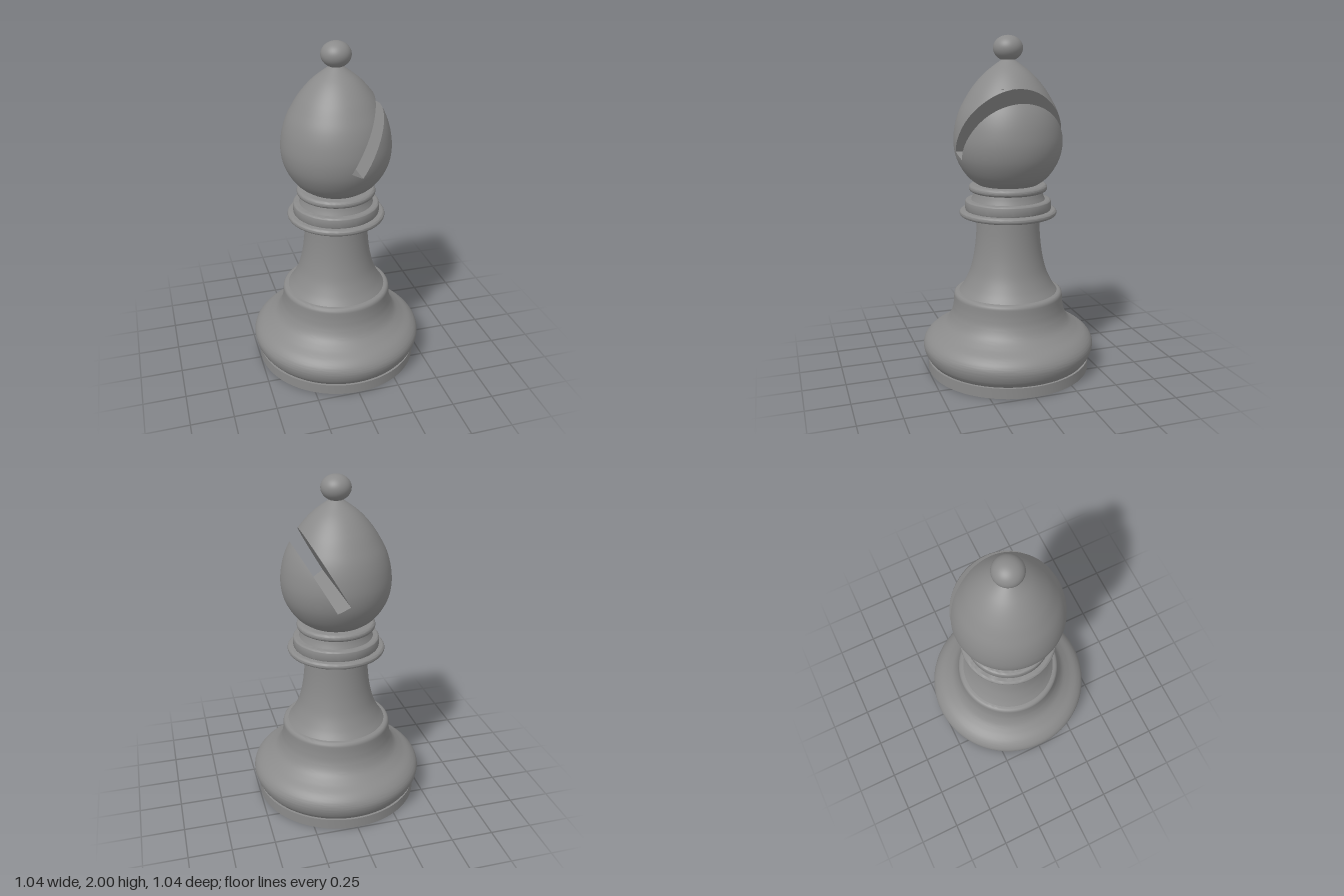
import * as THREE from 'three';
import { toCreasedNormals } from 'three/addons/utils/BufferGeometryUtils.js';

const V = (x, y) => new THREE.Vector2(x, y);
const grey = new THREE.MeshStandardMaterial({ color: 0x8a8a8a });
const greyThin = new THREE.MeshStandardMaterial({ color: 0x8a8a8a, side: THREE.DoubleSide });
const spline = (pts, n) => new THREE.SplineCurve(pts.map(p => V(...p))).getPoints(n);

function turned(name, points) {
  const mesh = new THREE.Mesh(toCreasedNormals(new THREE.LatheGeometry(points, 96), 0.6), grey);
  mesh.name = name;
  return mesh;
}

// closed disc with rounded rims, from y0 to y1
function ring(name, y0, y1, r, round) {
  const pts = [V(0, y0)];
  for (let i = 0; i <= 6; i++) {
    const a = -Math.PI / 2 + i * Math.PI / 12;
    pts.push(V(r - round + round * Math.cos(a), y0 + round + round * Math.sin(a)));
  }
  for (let i = 0; i <= 6; i++) {
    const a = i * Math.PI / 12;
    pts.push(V(r - round + round * Math.cos(a), y1 - round + round * Math.sin(a)));
  }
  pts.push(V(0, y1));
  return turned(name, pts.filter((p, i) => !i || p.distanceTo(pts[i - 1]) > 1e-5));
}

// grid surface from rows of vertices { p, n }
function grid(name, rows, material) {
  const pos = [], nor = [], idx = [], w = rows[0].length;
  rows.flat().forEach(v => { pos.push(...v.p); if (v.n) nor.push(...v.n); });
  for (let i = 0; i + 1 < rows.length; i++) {
    for (let j = 0; j + 1 < w; j++) {
      const a = i * w + j, b = a + 1, c = a + w, d = c + 1;
      idx.push(a, c, b, b, c, d);
    }
  }
  const g = new THREE.BufferGeometry();
  g.setAttribute('position', new THREE.Float32BufferAttribute(pos, 3));
  g.setIndex(idx);
  if (nor.length) g.setAttribute('normal', new THREE.Float32BufferAttribute(nor, 3));
  else g.computeVertexNormals();
  const mesh = new THREE.Mesh(g, material);
  mesh.name = name;
  return mesh;
}

// egg-shaped head with a slanted slot cut through it along z
function createHead() {
  const head = new THREE.Group();
  head.name = 'head';
  const curve = new THREE.SplineCurve([
    [0.16, 1.13], [0.222, 1.172], [0.27, 1.23], [0.306, 1.305], [0.32, 1.39], [0.312, 1.48],
    [0.29, 1.56], [0.256, 1.63], [0.205, 1.71], [0.133, 1.79], [0.03, 1.868],
  ].map(p => V(...p)));

  // slot outline: floor from (0.07, 1.305) to (0, 1.345), both walls rising at 60 degrees
  const slope = 0.577, yA = 1.305, yB = 1.345, xA = 0.07;
  const upperX = y => y < yA ? xA : y < yB ? xA * (yB - y) / (yB - yA) : (y - yB) * slope;
  const lowerX = y => y < yA ? xA : xA + (y - yA) * slope;

  // curve parameter at which f turns positive
  const solve = f => {
    let lo = 0, hi = 1;
    for (let i = 0; i < 40; i++) {
      const m = (lo + hi) / 2;
      if (f(curve.getPoint(m)) > 0) hi = m; else lo = m;
    }
    return (lo + hi) / 2;
  };
  const tA = solve(p => p.y - yA), tB = solve(p => p.y - yB);
  const tLower = solve(p => lowerX(p.y) - p.x), tUpper = solve(p => upperX(p.y) - p.x);

  // parameters between two values, packed closer towards the end
  const span = (a, b, n) => Array.from({ length: n + 1 }, (_, i) => b - (b - a) * (1 - i / n) ** 2);
  const arcRow = (t, from, to, n) => {
    const p = curve.getPoint(t), d = curve.getTangent(t);
    return Array.from({ length: n + 1 }, (_, j) => {
      const a = from(p) + (to(p) - from(p)) * j / n;
      return {
        p: [p.x * Math.cos(a), p.y, p.x * Math.sin(a)],
        n: [d.y * Math.cos(a), -d.x, d.y * Math.sin(a)],
      };
    });
  };
  const angle = (x, r) => Math.acos(Math.min(1, x / r));
  const upperAngle = p => p.y > curve.getPoint(tUpper).y - 1e-7 ? 0 : angle(upperX(p.y), p.x);
  const lowerAngle = p => angle(lowerX(p.y), p.x);

  const low = span(0, tA, 14);
  const mainT = [...low, ...span(tA, tB, 5), ...span(tB, tUpper, 36), ...span(tUpper, 1, 20)];
  const sideT = [...low, ...span(tA, tLower, 36)];
  head.add(grid('headMain',
    mainT.map(t => arcRow(t, upperAngle, p => 2 * Math.PI - upperAngle(p), 80)), grey));
  head.add(grid('headLowerLip',
    sideT.map(t => arcRow(t, p => -lowerAngle(p), lowerAngle, 40)), grey));

  // flat faces inside the slot
  const wall = (name, a, b, xOf) => head.add(grid(name, span(a, b, 36).map(t => {
    const p = curve.getPoint(t), x = Math.min(xOf(p.y), p.x);
    const z = Math.sqrt(Math.max(0, p.x * p.x - x * x));
    return [{ p: [x, p.y, z] }, { p: [x, p.y, -z] }];
  }), greyThin));
  wall('slotFloor', tA, tB - 1e-6, upperX);
  wall('slotUpperWall', tB, tUpper, upperX);
  wall('slotLowerWall', tA, tLower, lowerX);
  return head;
}

export function createModel() {
  const model = new THREE.Group();
  model.name = 'chessBishop';

  // base
  model.add(turned('foot', [V(0, 0), V(0.494, 0), V(0.494, 0.063), V(0, 0.063)]));
  model.add(turned('baseBulge', [
    V(0, 0.06),
    ...spline([[0.478, 0.06], [0.507, 0.1], [0.521, 0.15], [0.511, 0.19], [0.478, 0.226],
      [0.42, 0.262], [0.373, 0.302], [0.345, 0.355], [0.333, 0.41], [0.329, 0.465]], 60),
    V(0.326, 0.476), V(0.318, 0.484), V(0.308, 0.487), V(0, 0.487),
  ]));

  // stem
  model.add(turned('stem', spline([[0.302, 0.48], [0.268, 0.53], [0.235, 0.6], [0.214, 0.675],
    [0.2, 0.755], [0.191, 0.85], [0.187, 0.965]], 40)));

  // collar
  model.add(ring('collarFlange', 0.953, 0.989, 0.29, 0.017));
  model.add(ring('collarBand', 0.983, 1.05, 0.256, 0.014));
  model.add(turned('neck', spline([[0.222, 1.043], [0.21, 1.073], [0.2, 1.108]], 10)));
  model.add(ring('neckRing', 1.098, 1.141, 0.233, 0.021));

  model.add(createHead());

  // finial
  const finial = new THREE.Mesh(new THREE.SphereGeometry(1, 48, 32), grey);
  finial.name = 'finial';
  finial.scale.set(0.086, 0.073, 0.086);
  finial.position.y = 1.927;
  model.add(finial);
  return model;
}
